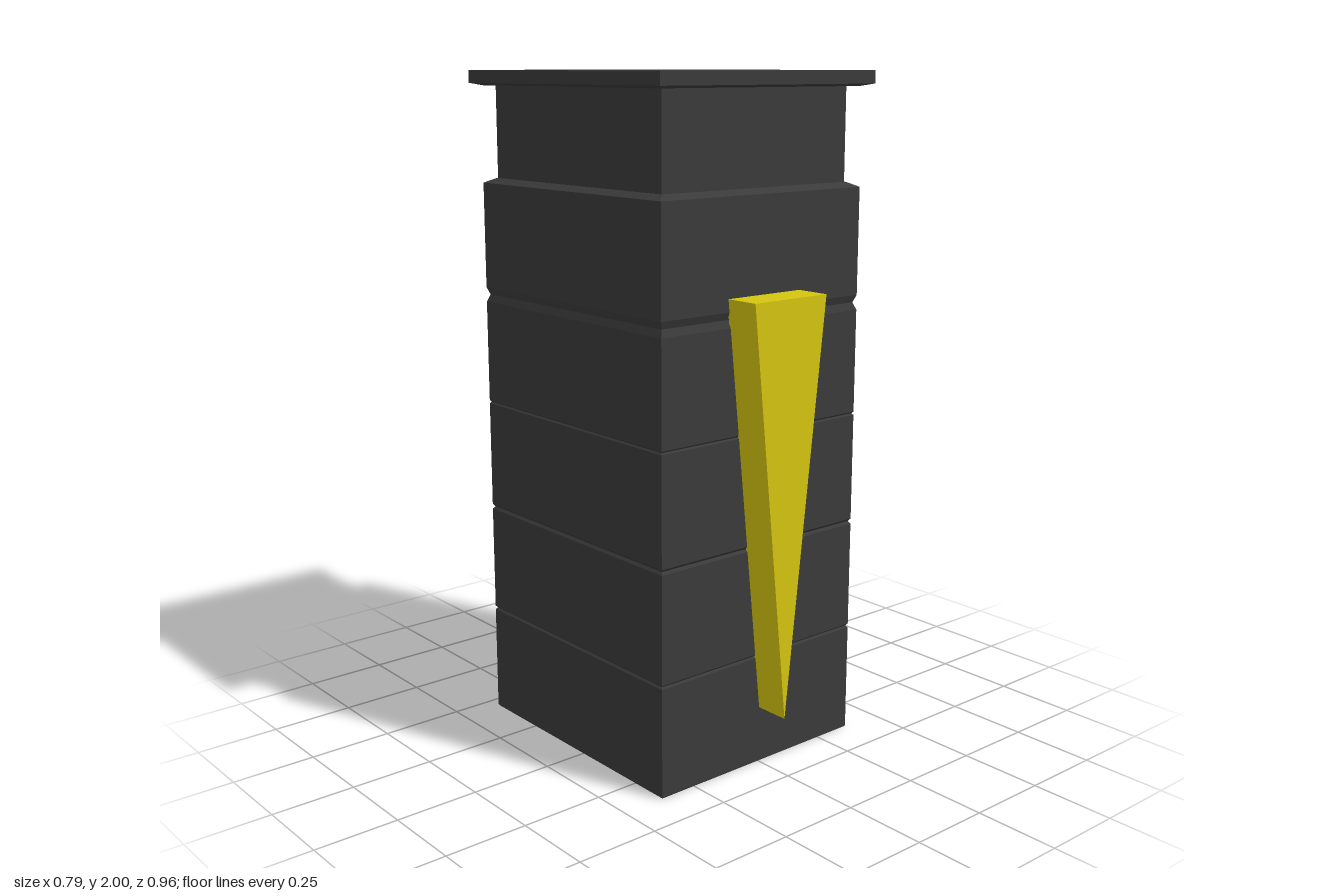
import * as THREE from 'three';

const DEPTH_RATIO = 1.122; // depth of the tower relative to its width
const CENTRE_Z = -0.04;

// Closed rectangular solid from a profile of [half width, height], bottom to top
function rectLoft(name, profile, material) {
  const points = [[0, profile[0][1]], ...profile, [0, profile[profile.length - 1][1]]]
    .map(([w, y]) => new THREE.Vector2(w * Math.SQRT2, y));
  const geometry = new THREE.LatheGeometry(points, 4, Math.PI / 4).toNonIndexed();
  geometry.scale(1, 1, DEPTH_RATIO);
  geometry.translate(0, 0, CENTRE_Z);
  geometry.computeVertexNormals();
  const mesh = new THREE.Mesh(geometry, material);
  mesh.name = name;
  return mesh;
}

export function createModel() {
  const group = new THREE.Group();
  group.name = 'tower';
  const dark = new THREE.MeshStandardMaterial({ color: 0x3a3a3a, flatShading: true });
  const yellow = new THREE.MeshStandardMaterial({ color: 0xd4c410, flatShading: true });

  // Main shaft, with fine V grooves between its stacked blocks
  const shaft = [[0.367, 0], [0.37, 0.004]];
  const grooves = [[0.335, 0.005, 0.006], [0.67, 0.006, 0.008], [1.005, 0.004, 0.005], [1.338, 0.008, 0.022]];
  for (const [y, depth, half] of grooves) {
    shaft.push([0.37, y - half], [0.37 - depth, y], [0.37, y + half]);
  }
  shaft.push([0.37, 1.673], [0.343, 1.687]);
  group.add(rectLoft('shaft', shaft, dark));

  // Recessed neck and overhanging cap
  group.add(rectLoft('neck', [[0.34, 1.68], [0.34, 1.96]], dark));
  group.add(rectLoft('cap', [[0.365, 1.956], [0.394, 1.963], [0.394, 2]], dark));

  // Downward-pointing wedge on the front
  const triangle = new THREE.Shape([
    new THREE.Vector2(-0.134, 1.397),
    new THREE.Vector2(0, 0.172),
    new THREE.Vector2(0.134, 1.397),
  ]);
  const wedge = new THREE.Mesh(
    new THREE.ExtrudeGeometry(triangle, { depth: 0.112, bevelEnabled: false }), yellow);
  wedge.position.z = 0.37;
  wedge.name = 'frontWedge';
  group.add(wedge);

  return group;
}
